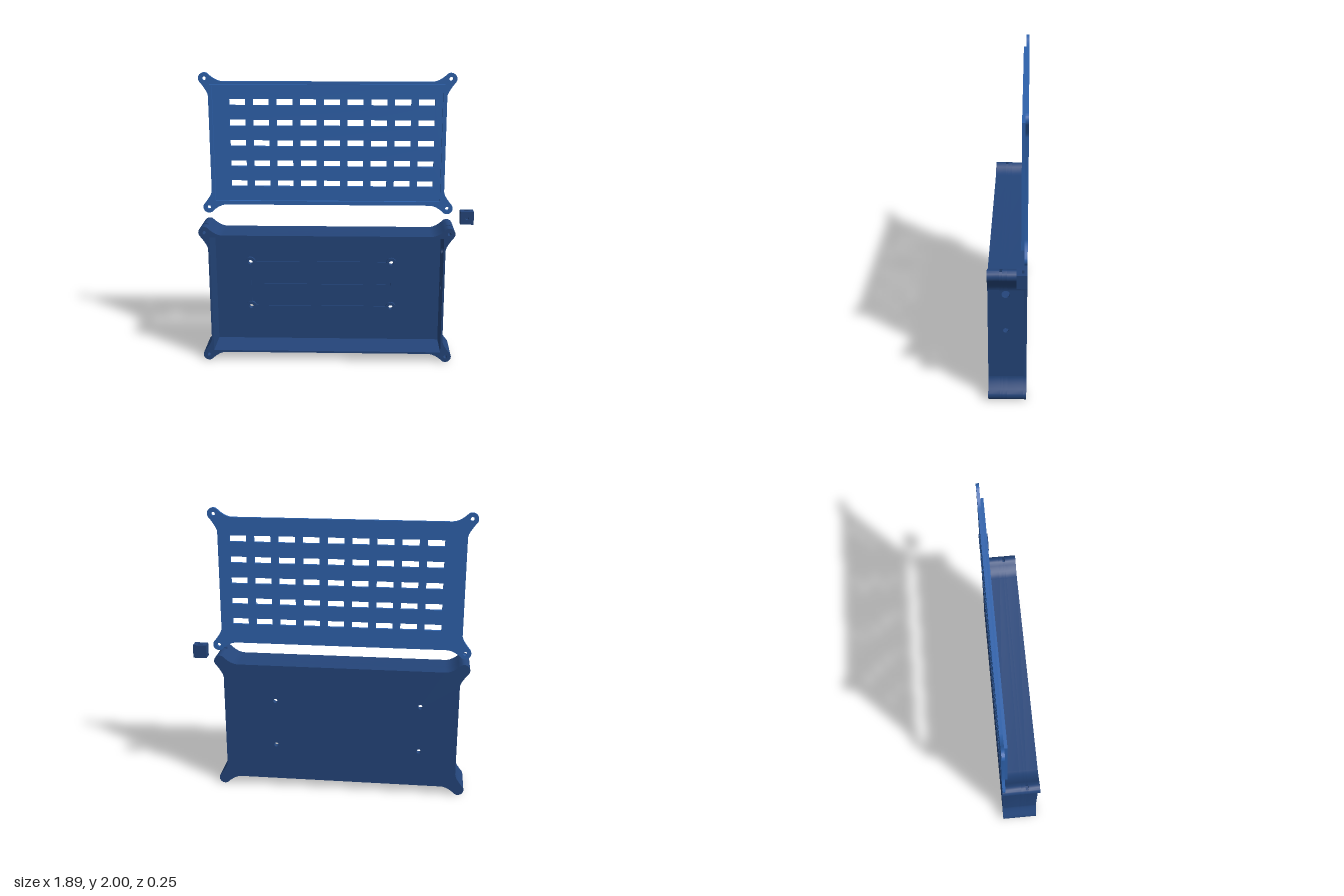
import * as THREE from 'three';
import { toCreasedNormals } from 'three/addons/utils/BufferGeometryUtils.js';

const CX = -0.0775, BOX_Y = 0.49, LID_Y = 1.51;   // centres of box and lid
const HW = 0.812, HH = 0.43, EX = 0.835, EY = 0.45, ER = 0.04; // half sizes, screw ears
const WALL = 0.013, BACK = -0.125, FLOOR = -0.105, FRONT = 0.125;

const boxMat = new THREE.MeshStandardMaterial({ color: 0x24457a });
const lidMat = new THREE.MeshStandardMaterial({ color: 0x2e62ac });

const v = (x, y) => new THREE.Vector2(x, y);
const rect = (x, y, w, h) => [v(x - w / 2, y - h / 2), v(x + w / 2, y - h / 2), v(x + w / 2, y + h / 2), v(x - w / 2, y + h / 2)];
const circle = (x, y, r, n = 24) => Array.from({ length: n }, (_, i) =>
  v(x + r * Math.cos(i / n * 2 * Math.PI), y + r * Math.sin(i / n * 2 * Math.PI)));

// Extrudes an outline with holes from z0 to z1
function slab(outline, holes, z0, z1) {
  const shape = new THREE.Shape(outline);
  shape.holes = holes.map(h => new THREE.Path(h));
  const geo = new THREE.ExtrudeGeometry(shape, { depth: z1 - z0, bevelEnabled: false });
  geo.translate(0, 0, z0);
  return toCreasedNormals(geo, 0.5);
}

function add(parent, name, geo, mat) {
  const mesh = new THREE.Mesh(geo, mat);
  mesh.name = name;
  parent.add(mesh);
  return mesh;
}

// Rectangle with flared round ears, counter-clockwise from the right edge; optional nut notches
function earOutline(notch = false) {
  const at = deg => v(EX + ER * Math.cos(deg * Math.PI / 180), EY + ER * Math.sin(deg * Math.PI / 180));
  const flare = (a, b, c) => new THREE.QuadraticBezierCurve(a, b, c).getPoints(6);
  const q = flare(v(HW, 0.33), v(HW, 0.36), at(-30));
  for (let d = -18; d < 62; d += 12) q.push(at(d));
  if (notch) q.push(at(63), v(EX + 0.018, EY - 0.018), v(EX - 0.018, EY - 0.018), at(117));
  else for (let d = 66; d < 119; d += 12) q.push(at(d));
  q.push(...flare(at(120), v(0.76, HH), v(0.71, HH)));
  const mirror = (sx, sy) => q.map(p => v(p.x * sx, p.y * sy));
  return [...q, ...mirror(-1, 1).reverse(), ...mirror(-1, -1), ...mirror(1, -1).reverse()];
}

// Walls of the box, left open where the drilled side panel sits
function wallOutline(notch) {
  const x = HW - WALL, y = HH - WALL;
  return [...earOutline(notch), v(x, -0.33), v(x, -y), v(-x, -y), v(-x, y), v(x, y), v(x, 0.33)];
}

const earHoles = r => [[1, 1], [-1, 1], [-1, -1], [1, -1]].map(([a, b]) => circle(a * EX, b * EY, r));

function makeBox() {
  const box = new THREE.Group();
  box.name = 'enclosureBox';
  box.position.set(CX, BOX_Y, 0);

  // Floor with four mounting holes, standoff rings and low ribs
  const xs = [-0.5525, 0.4525], ys = [-0.165, 0.17];
  const posts = xs.flatMap(x => ys.map(y => [x, y]));
  add(box, 'floor', slab(earOutline(), posts.map(([x, y]) => circle(x, y, 0.016)), BACK, FLOOR), boxMat);
  for (const [x, y] of posts)
    add(box, 'standoff', slab(circle(x, y, 0.036), [circle(x, y, 0.016)], FLOOR, FLOOR + 0.018), boxMat);
  for (const y of [ys[0], 0, ys[1]])
    add(box, 'floorRib', slab(rect(-0.05, y, 0.93, 0.008), [], FLOOR, FLOOR + 0.008), boxMat);
  for (const x of [xs[0], -0.05, xs[1]])
    add(box, 'floorRib', slab(rect(x, 0, 0.008, 0.26), [], FLOOR, FLOOR + 0.008), boxMat);

  // Walls in layers: solid, screw holes, nut slots, screw holes
  const layers = [[FLOOR, 0, 0], [0, 0.03, 1], [0.03, 0.048, 2], [0.048, FRONT, 1]];
  for (const [z0, z1, kind] of layers)
    add(box, 'walls', slab(wallOutline(kind === 2), kind === 1 ? earHoles(0.012) : [], z0, z1), boxMat);

  // Side panel with cable holes
  const panel = slab(rect(-(FLOOR + FRONT) / 2, 0, FRONT - FLOOR, 0.66),
    [circle(-0.01, 0.3, 0.026), circle(-0.01, 0.03, 0.017)], HW - WALL, HW);
  panel.rotateY(Math.PI / 2);
  add(box, 'sidePanel', panel, boxMat);
  return box;
}

function makeLid() {
  const lid = new THREE.Group();
  lid.name = 'ventedLid';
  lid.position.set(CX, LID_Y, 0);
  const slots = [];
  for (let c = 0; c < 9; c++)
    for (let r = 0; r < 5; r++)
      slots.push(rect(-0.615 + c * 0.1615, (r - 2) * 0.1415 + 0.007, 0.11, 0.042));
  add(lid, 'lidPlate', slab(earOutline(), [...earHoles(0.013), ...slots], BACK, FLOOR), lidMat);
  // Locating ridge
  add(lid, 'lidRidge', slab(rect(0, 0, 1.594, 0.824), [rect(0, 0, 1.566, 0.796)], FLOOR, -0.085), lidMat);
  return lid;
}

// Small separate block with a screw hole and nut slot
function makeBlock() {
  const block = new THREE.Group();
  block.name = 'screwBlock';
  block.position.set(0.896, 1.003, 0);
  const s = 0.046, square = rect(0, 0, 2 * s, 2 * s);
  const slotted = [v(-s, -s), v(s, -s), v(s, s), v(0.018, s), v(0.018, -0.018), v(-0.018, -0.018), v(-0.018, s), v(-s, s)];
  add(block, 'blockBase', slab(square, [], BACK, -0.107), boxMat);
  add(block, 'blockNutSlot', slab(slotted, [], -0.107, -0.091), boxMat);
  add(block, 'blockFace', slab(square, [circle(0, 0, 0.012)], -0.091, -0.06), boxMat);
  return block;
}

export function createModel() {
  const model = new THREE.Group();
  model.name = 'ventedEnclosure';
  model.add(makeBox(), makeLid(), makeBlock());
  return model;
}
